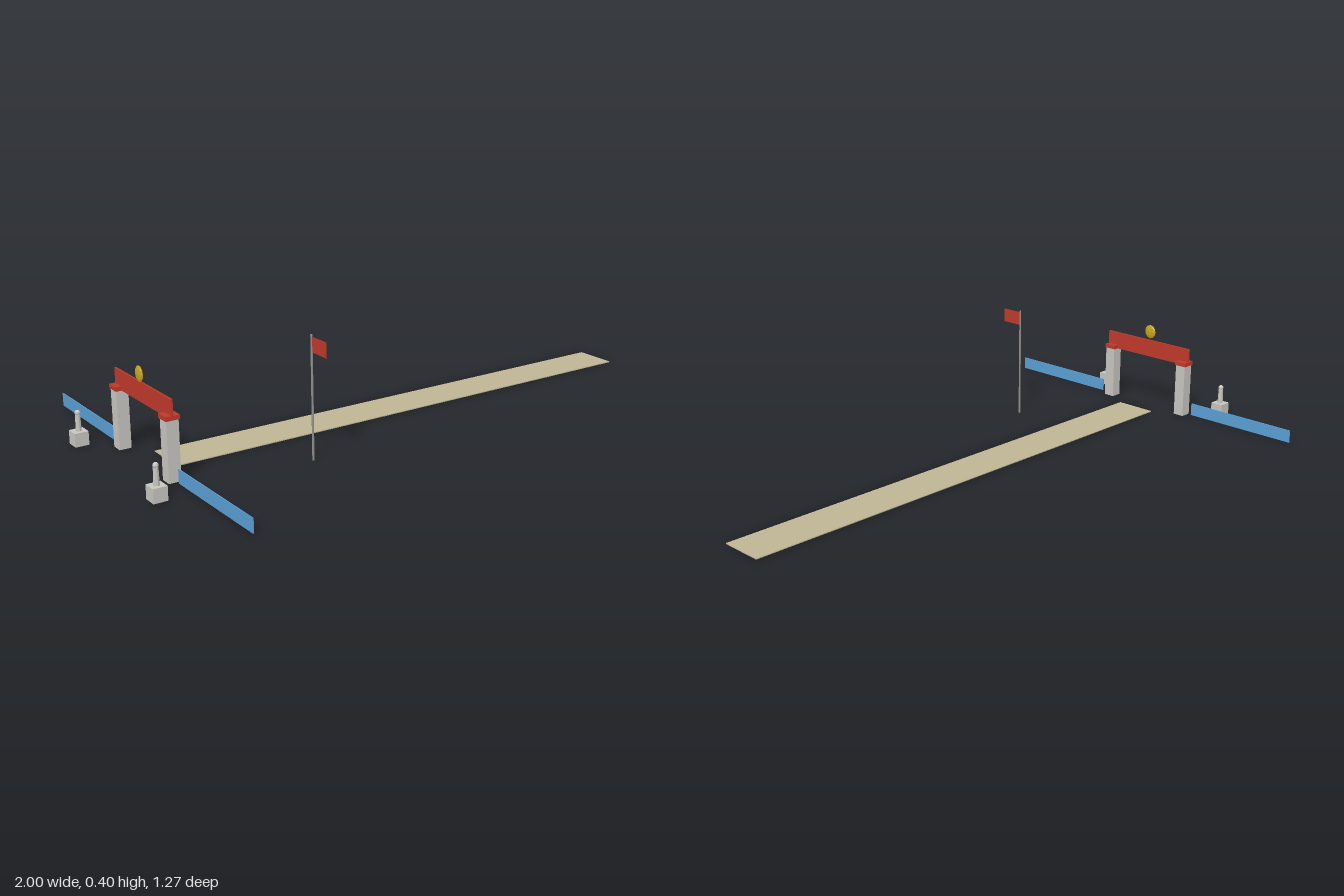
import * as THREE from 'three';

const mat = (name, color, extra = {}) =>
  Object.assign(new THREE.MeshStandardMaterial({ color, ...extra }), { name });

export function createModel() {
  const model = new THREE.Group();
  model.name = 'racecourseGate';

  const stone = mat('stone', 0xc8c6c0, { flatShading: true });
  const red = mat('red', 0xc0392b, { side: THREE.DoubleSide });
  const blue = mat('blue', 0x5a9fd4);
  const sand = mat('sand', 0xbfb595);
  const gold = mat('gold', 0xc9a51a, { flatShading: true });
  const metal = mat('metal', 0x94938f);

  const add = (parent, name, geometry, material, x, y, z) => {
    const mesh = new THREE.Mesh(geometry, material);
    mesh.name = name;
    mesh.position.set(x, y, z);
    parent.add(mesh);
    return mesh;
  };
  const box = (w, h, d) => new THREE.BoxGeometry(w, h, d);

  // Long flat track
  add(model, 'track', box(1.815, 0.003, 0.15), sand, 0.0925, 0.0015, 0);

  // Gate: pillars, caps, banner and medallion
  const gateX = -0.878;
  const gate = new THREE.Group();
  gate.name = 'gate';
  model.add(gate);
  add(gate, 'banner', box(0.006, 0.064, 0.38), red, gateX, 0.224, 0);
  add(gate, 'medallion', new THREE.SphereGeometry(0.026, 8, 6), gold, -0.887, 0.285, 0)
    .scale.set(0.27, 1, 0.94);

  for (const side of [1, -1]) {
    add(gate, 'pillar', box(0.04, 0.195, 0.04), stone, gateX, 0.0975, side * 0.168);
    add(gate, 'pillarCap', box(0.046, 0.014, 0.046), red, gateX, 0.199, side * 0.168);

    // Low barrier beside the gate
    add(model, 'barrier', box(0.003, 0.045, 0.424), blue, gateX, 0.0285, side * 0.425);

    // Small statue on a plinth
    const statue = new THREE.Group();
    statue.name = 'statue';
    statue.position.set(-0.977, 0, side * 0.272);
    model.add(statue);
    add(statue, 'plinth', box(0.046, 0.045, 0.046), stone, 0, 0.0225, 0);
    add(statue, 'body', new THREE.CylinderGeometry(0.0085, 0.01, 0.053, 8), stone, 0, 0.0715, 0);
    add(statue, 'head', new THREE.SphereGeometry(0.0095, 8, 6), stone, 0, 0.104, 0);
  }

  // Flagpole with a flat flag
  const flag = new THREE.Group();
  flag.name = 'flagpole';
  flag.position.set(-0.457, 0, 0.273);
  model.add(flag);
  add(flag, 'pole', new THREE.CylinderGeometry(0.0035, 0.0035, 0.397, 6), metal, 0, 0.1985, 0);
  add(flag, 'flag', new THREE.PlaneGeometry(0.08, 0.049), red, 0, 0.3665, 0.041)
    .rotation.y = Math.PI / 2;

  return model;
}
